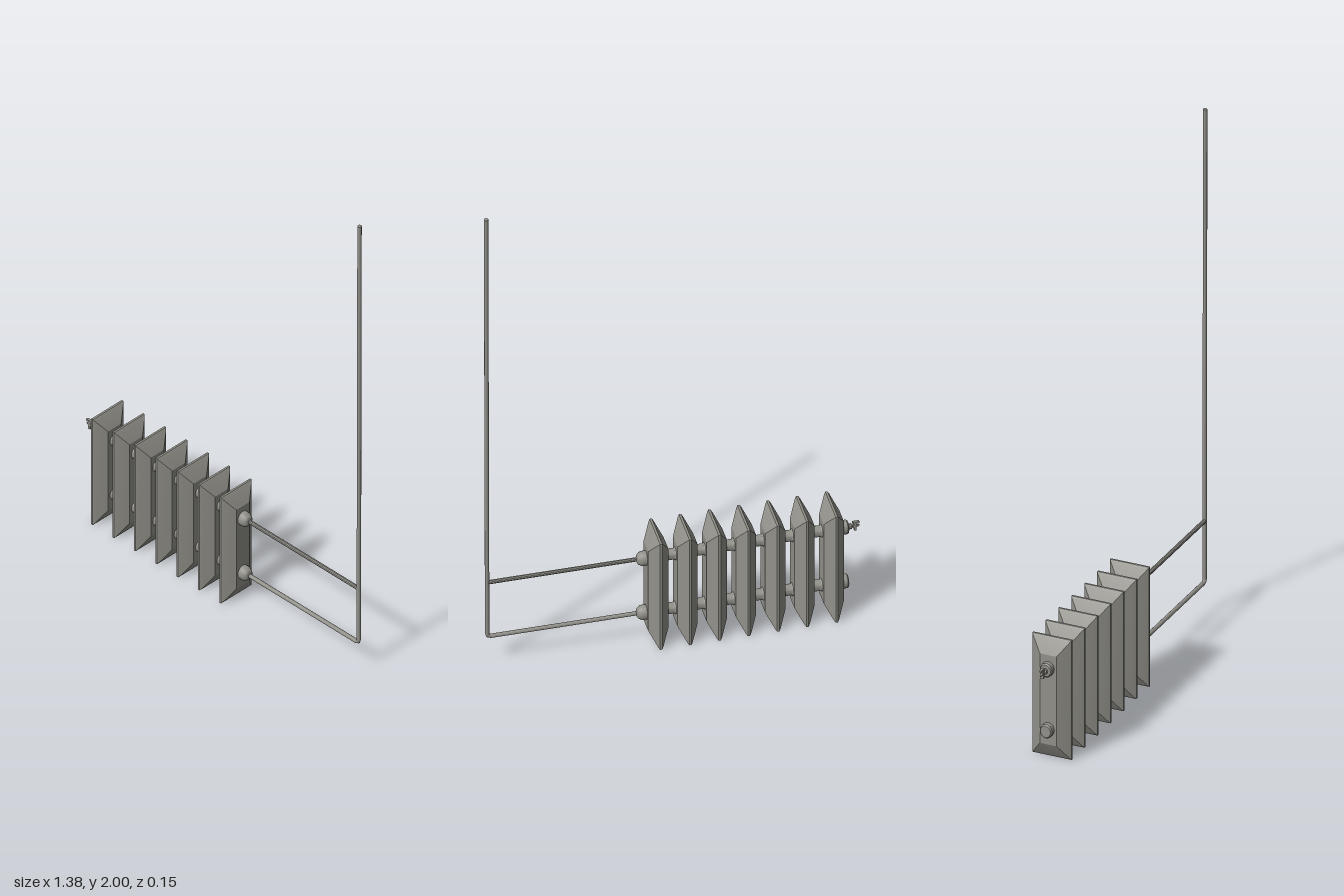
import * as THREE from 'three';
import { toCreasedNormals } from 'three/addons/utils/BufferGeometryUtils.js';

export function createModel() {
  const model = new THREE.Group();
  model.name = 'radiator';
  const iron = new THREE.MeshStandardMaterial({ color: 0x92918a });
  iron.name = 'grey iron';

  const add = (name, geometry, x = 0, y = 0, z = 0) => {
    const mesh = new THREE.Mesh(geometry, iron);
    mesh.name = name;
    mesh.position.set(x, y, z);
    model.add(mesh);
    return mesh;
  };

  // Fin: rectangles stacked along x, [x, half height, half depth]
  function finGeometry() {
    const rings = [
      [-0.037, 0.178, 0.033], [-0.01, 0.229, 0.071], [-0.004, 0.2375, 0.077],
      [0.004, 0.2375, 0.077], [0.01, 0.229, 0.071], [0.037, 0.178, 0.033],
    ];
    const pos = [], index = [];
    for (const [x, h, d] of rings) pos.push(x, -h, -d, x, h, -d, x, h, d, x, -h, d);
    for (let r = 0; r < rings.length - 1; r++) {
      for (let i = 0; i < 4; i++) {
        const a = r * 4 + i, b = r * 4 + (i + 1) % 4;
        index.push(a, a + 4, b, b, a + 4, b + 4);
      }
    }
    const e = (rings.length - 1) * 4;
    index.push(0, 2, 3, 0, 1, 2, e, e + 2, e + 1, e, e + 3, e + 2);
    // orient every triangle away from the centre (the fin is convex)
    const p = (i) => new THREE.Vector3().fromArray(pos, i * 3);
    for (let t = 0; t < index.length; t += 3) {
      const a = p(index[t]), b = p(index[t + 1]), c = p(index[t + 2]);
      if (b.clone().sub(a).cross(c.clone().sub(a)).dot(a.add(b).add(c)) < 0) {
        [index[t + 1], index[t + 2]] = [index[t + 2], index[t + 1]];
      }
    }
    const g = new THREE.BufferGeometry();
    g.setAttribute('position', new THREE.Float32BufferAttribute(pos, 3));
    g.setIndex(index);
    return toCreasedNormals(g, 0.35);
  }

  // Body turned around the x axis, profile given as [radius, x]
  function turned(profile, depth = 1, sides = 16) {
    const g = new THREE.LatheGeometry(profile.map(([r, x]) => new THREE.Vector2(r, x)), sides);
    g.rotateZ(-Math.PI / 2);
    g.scale(1, 1, depth);
    return toCreasedNormals(g, 0.6);
  }

  const count = 7, first = -0.585, step = 0.1075, last = first + step * (count - 1);
  const levels = [0.12, 0.363];
  const fin = finGeometry();
  const joint = turned([[0.029, -0.038], [0.028, -0.02], [0.022, -0.012],
    [0.022, 0.012], [0.028, 0.02], [0.029, 0.038]], 0.9);
  const endCap = turned([[0, -0.06], [0.023, -0.06], [0.028, -0.055], [0.028, -0.02]], 0.87);
  const endNut = turned([[0.029, 0.02], [0.029, 0.054], [0.02, 0.068], [0.009, 0.073], [0, 0.073]], 0.87);

  for (let i = 0; i < count; i++) add('fin', fin, first + i * step, 0.2375);
  for (const y of levels) {
    for (let i = 0; i < count - 1; i++) add('joint', joint, first + (i + 0.5) * step, y);
    add('endCap', endCap, first, y);
    add('endNut', endNut, last, y);
  }

  // Lower feed pipe with its elbow, rising to the top
  const V = (x, y) => new THREE.Vector3(x, y, 0);
  const path = new THREE.CurvePath();
  path.add(new THREE.LineCurve3(V(0.12, 0.12), V(0.667, 0.12)));
  path.add(new THREE.QuadraticBezierCurve3(V(0.667, 0.12), V(0.68, 0.12), V(0.68, 0.133)));
  path.add(new THREE.LineCurve3(V(0.68, 0.133), V(0.684, 2)));
  add('riserPipe', new THREE.TubeGeometry(path, 240, 0.008, 10));
  const top = add('riserEnd', new THREE.CircleGeometry(0.008, 10), 0.684, 2);
  top.rotation.x = -Math.PI / 2;
  add('upperPipe', turned([[0.008, 0.12], [0.008, 0.68]], 1, 10), 0, 0.363);

  // Bleed valve: stem, collar, cross handle and tip
  add('valveStem', turned([[0, -0.69], [0.004, -0.684], [0.006, -0.676], [0.006, -0.66],
    [0.011, -0.657], [0.011, -0.648], [0.007, -0.645], [0.007, -0.635]], 1, 10), 0, 0.363);
  add('valveHandle', new THREE.BoxGeometry(0.009, 0.036, 0.012), -0.671, 0.363);
  add('valveKnob', new THREE.BoxGeometry(0.024, 0.008, 0.009), -0.674, 0.378);

  return model;
}
